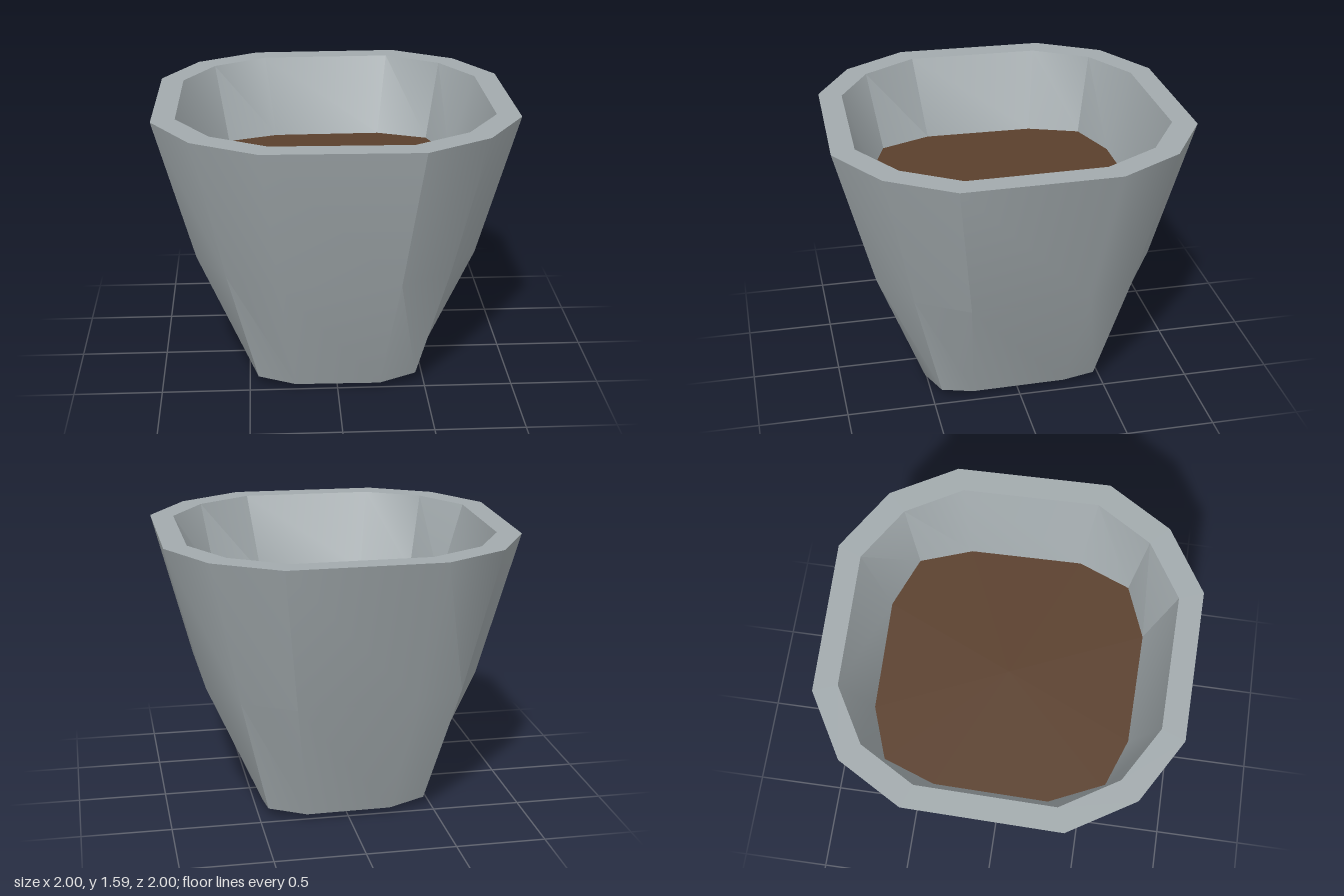
import * as THREE from 'three';
import { toCreasedNormals } from 'three/addons/utils/BufferGeometryUtils.js';

// Twelve-sided loop from one quadrant's side, corner and edge points [x, y, z],
// mirrored four ways; the sides lean in slightly towards the back and left.
function ring(side, corner, edge) {
  const points = [];
  for (const [sx, sz] of [[1, 1], [-1, 1], [-1, -1], [1, -1]]) {
    const skewX = sz > 0 ? 1 : 0.985;
    const skewZ = sx > 0 ? 1 : 0.985;
    const trio = [
      [side[0] * sx * skewX, side[1], side[2] * sz],
      [corner[0] * sx, corner[1], corner[2] * sz],
      [edge[0] * sx, edge[1], edge[2] * sz * skewZ],
    ];
    points.push(...(sx * sz > 0 ? trio : trio.reverse()));
  }
  return points;
}

// Level loop: s = side reach, w = half width of a straight side, c = corner reach
const level = (y, s, w, c) => ring([s, y, w], [c, y, c], [w, y, s]);
const centre = (y) => Array.from({ length: 12 }, () => [0, y, 0]);

// Skin successive loops, leaving out triangles that collapse to a line
function loft(rings) {
  const positions = [];
  const add = (a, b, c) => {
    const same = (p, q) => p.every((v, i) => Math.abs(v - q[i]) < 1e-6);
    if (!same(a, b) && !same(b, c) && !same(a, c)) positions.push(...a, ...b, ...c);
  };
  for (let r = 0; r < rings.length - 1; r++) {
    const low = rings[r], high = rings[r + 1];
    for (let i = 0; i < 12; i++) {
      const j = (i + 1) % 12;
      add(low[i], high[i], high[j]);
      add(low[i], high[j], low[j]);
    }
  }
  const geometry = new THREE.BufferGeometry();
  geometry.setAttribute('position', new THREE.Float32BufferAttribute(positions, 3));
  return toCreasedNormals(geometry, THREE.MathUtils.degToRad(30));
}

export function createModel() {
  const stone = new THREE.MeshStandardMaterial({ name: 'grey stone', color: 0xa2aaad });
  const earth = new THREE.MeshStandardMaterial({ name: 'brown earth', color: 0x5a3f2c });
  const group = new THREE.Group();
  group.name = 'plantPot';

  const soilY = 1.13;
  const soilRing = level(soilY, 0.72, 0.315, 0.605);
  const foot = [0.23, 0, 0.27];

  // Pot: underside, outer wall, flat rim and inner wall
  const pot = new THREE.Mesh(loft([
    centre(0),
    ring(foot, foot, foot),
    ring([0.465, 0.035, 0.27], [0.45, 0.06, 0.45], [0.24, 0.035, 0.515]),
    level(0.76, 0.785, 0.33, 0.615),
    level(1.585, 1, 0.425, 0.78),
    level(1.585, 0.87, 0.375, 0.68),
    soilRing,
  ]), stone);
  pot.name = 'pot';
  group.add(pot);

  // Soil surface inside the pot
  const soil = new THREE.Mesh(loft([soilRing, centre(soilY)]), earth);
  soil.name = 'soil';
  group.add(soil);

  return group;
}
